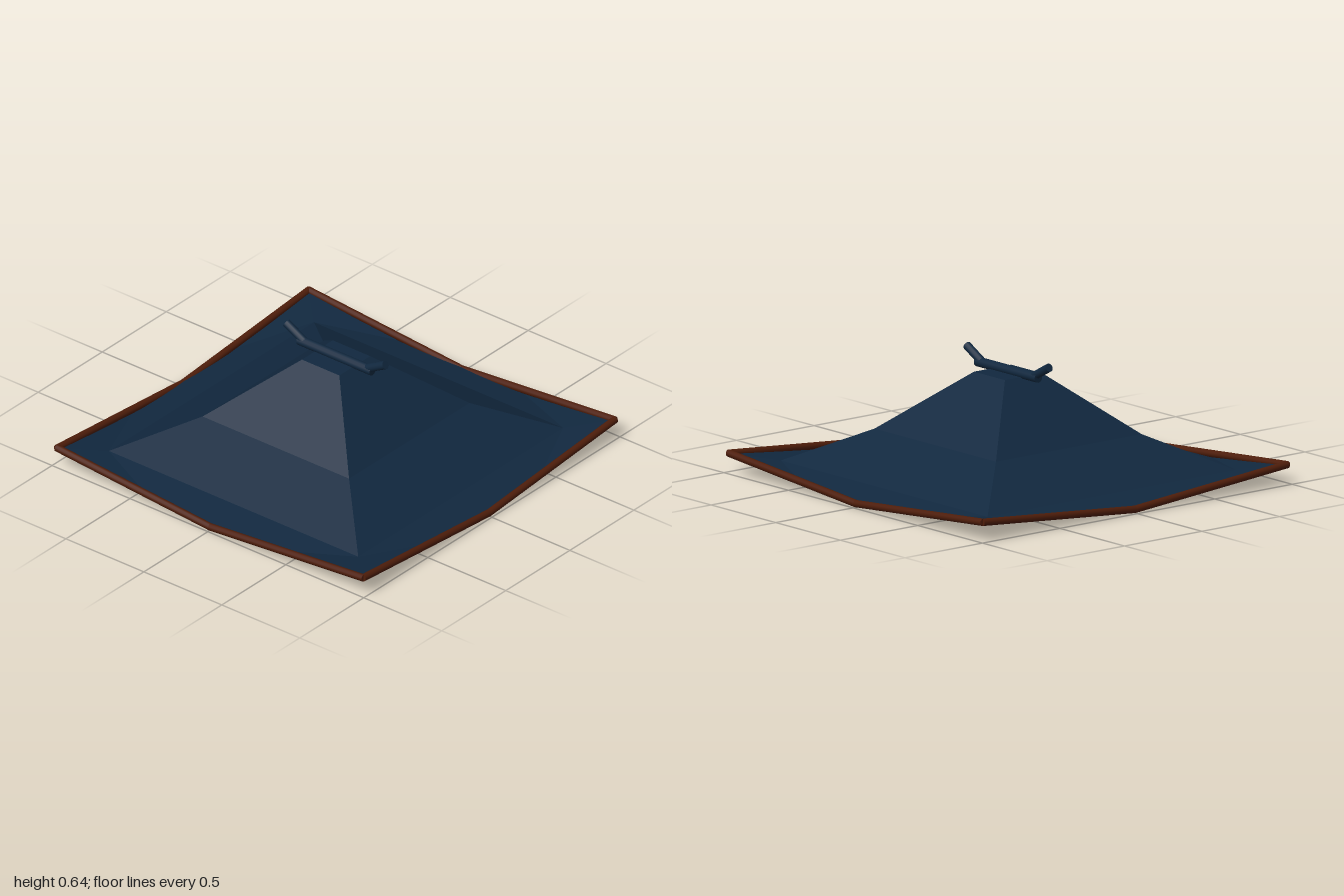
import * as THREE from 'three';

const tile = new THREE.MeshStandardMaterial({ color: 0x11283f, flatShading: true, side: THREE.DoubleSide });
tile.name = 'navyTile';
const ridgeBlue = new THREE.MeshStandardMaterial({ color: 0x11283f });
ridgeBlue.name = 'navyRidge';
const wood = new THREE.MeshStandardMaterial({ color: 0x4e1d0a });
wood.name = 'brownWood';

// Square ring of 12 points: four corners plus two inner points per side
function ring(half, yCorner, yMiddle) {
  const points = [];
  for (let s = 0; s < 4; s++) {
    for (const t of [-1, -0.41, 0.41]) {
      const p = new THREE.Vector3(t * half, t === -1 ? yCorner : yMiddle, half);
      points.push(p.applyAxisAngle(new THREE.Vector3(0, 1, 0), s * Math.PI / 2));
    }
  }
  return points;
}

// Surface between two rings, upper ring first
function band(name, upper, lower) {
  const pos = [];
  const n = upper.length;
  for (let i = 0; i < n; i++) {
    const j = (i + 1) % n;
    // the diagonal mirrors on each side's last panel
    const tris = i % 3 === 2
      ? [upper[i], lower[i], upper[j], upper[j], lower[i], lower[j]]
      : [upper[i], lower[i], lower[j], upper[i], lower[j], upper[j]];
    for (const p of tris) pos.push(p.x, p.y, p.z);
  }
  const geo = new THREE.BufferGeometry();
  geo.setAttribute('position', new THREE.Float32BufferAttribute(pos, 3));
  geo.computeVertexNormals();
  const mesh = new THREE.Mesh(geo, tile);
  mesh.name = name;
  return mesh;
}

// Round bar between two points
function bar(name, a, b, radius, material) {
  const from = new THREE.Vector3(...a);
  const dir = new THREE.Vector3(...b).sub(from);
  const mesh = new THREE.Mesh(new THREE.CylinderGeometry(radius, radius, dir.length(), 12), material);
  mesh.position.copy(from).addScaledVector(dir, 0.5);
  mesh.quaternion.setFromUnitVectors(new THREE.Vector3(0, 1, 0), dir.normalize());
  mesh.name = name;
  return mesh;
}

export function createModel() {
  const model = new THREE.Group();
  model.name = 'sweptRoof';

  // Roof slopes, steep at the top and flaring to upturned corners
  const top = ring(0.12, 0.54, 0.54);
  const waist = ring(0.47, 0.24, 0.24);
  const skirt = ring(0.8, 0.068, 0.068);
  const rim = ring(0.975, 0.1, 0.035);
  model.add(band('upperSlope', top, waist), band('lowerSlope', waist, skirt), band('eaves', skirt, rim));

  // Flat top
  const cap = new THREE.Mesh(new THREE.PlaneGeometry(0.24, 0.24), tile);
  cap.rotation.x = -Math.PI / 2;
  cap.position.y = 0.54;
  cap.name = 'roofCap';
  model.add(cap);

  // Ridge pole with raised ends
  model.add(bar('ridgePole', [-0.235, 0.554, 0], [0.235, 0.554, 0], 0.025, ridgeBlue));
  for (const s of [-1, 1]) {
    model.add(bar('ridgeEnd', [s * 0.19, 0.552, 0], [s * 0.318, 0.621, 0], 0.022, ridgeBlue));
  }

  // Edge beams dipping to the middle of each side
  for (let i = 0; i < 4; i++) {
    const side = new THREE.Group();
    side.name = 'edgeBeam';
    side.rotation.y = i * Math.PI / 2;
    for (const s of [-1, 1]) {
      side.add(bar('beamHalf', [0, 0.019, 0.981], [s * 0.985, 0.1, 0.981], 0.019, wood));
    }
    model.add(side);
  }
  return model;
}
